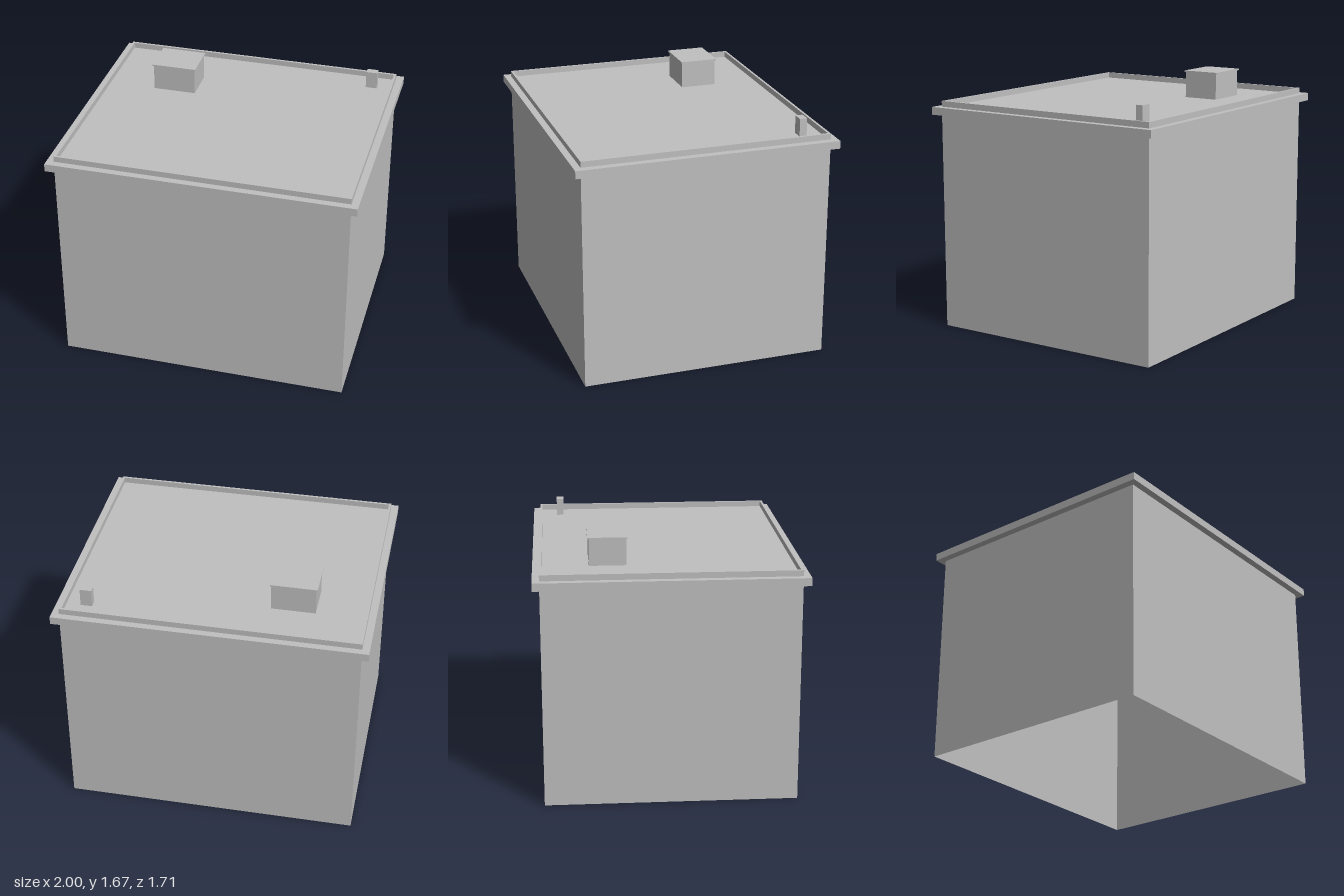
import * as THREE from 'three';

export function createModel() {
  const model = new THREE.Group();
  const grey = new THREE.MeshStandardMaterial({ color: 0xc0c0c0, side: THREE.DoubleSide });
  grey.name = 'plain grey';

  const add = (name, geometry, parent = model) => {
    const mesh = new THREE.Mesh(geometry, grey);
    mesh.name = name;
    parent.add(mesh);
    return mesh;
  };

  // Box given by its limits on each axis
  const block = (name, [x0, x1], [y0, y1], [z0, z1], parent) => {
    const mesh = add(name, new THREE.BoxGeometry(x1 - x0, y1 - y0, z1 - z0), parent);
    mesh.position.set((x0 + x1) / 2, (y0 + y1) / 2, (z0 + z1) / 2);
    return mesh;
  };

  const halfX = 0.953, halfZ = 0.811;
  const eaves = 1.433, roofTop = 1.484, parapetTop = 1.522;

  // Four thin walls, open underneath: drop the top and bottom faces of a box
  const walls = block('walls', [-halfX, halfX], [0, eaves], [-halfZ, halfZ]);
  const faces = Array.from(walls.geometry.index.array);
  walls.geometry.setIndex([...faces.slice(0, 12), ...faces.slice(24)]);
  walls.geometry.clearGroups();

  // Overhanging roof slab, whose edge is the cornice
  block('roofSlab', [-1, 1], [eaves, roofTop], [-0.856, 0.856]);

  // Low parapet round the flat roof
  const rectangle = (PathType, x, z) => new PathType([
    [-x, -z], [x, -z], [x, z], [-x, z],
  ].map(([a, b]) => new THREE.Vector2(a, b)));
  const outline = rectangle(THREE.Shape, halfX, halfZ);
  outline.holes.push(rectangle(THREE.Path, halfX - 0.016, halfZ - 0.016));
  const parapet = new THREE.ExtrudeGeometry(outline, {
    depth: parapetTop - roofTop, bevelEnabled: false,
  });
  parapet.rotateX(-Math.PI / 2);
  add('parapet', parapet).position.y = roofTop;

  // Roof hatch housing with a thin overhanging lid
  const hatch = new THREE.Group();
  hatch.name = 'roofHatch';
  model.add(hatch);
  block('hatchHousing', [-0.622, -0.337], [roofTop, 1.657], [-0.5, -0.262], hatch);
  block('hatchLid', [-0.63, -0.33], [1.657, 1.667], [-0.508, -0.255], hatch);

  // Small vent stack
  block('ventStack', [0.77, 0.845], [roofTop, 1.6], [-0.692, -0.644]);

  return model;
}
